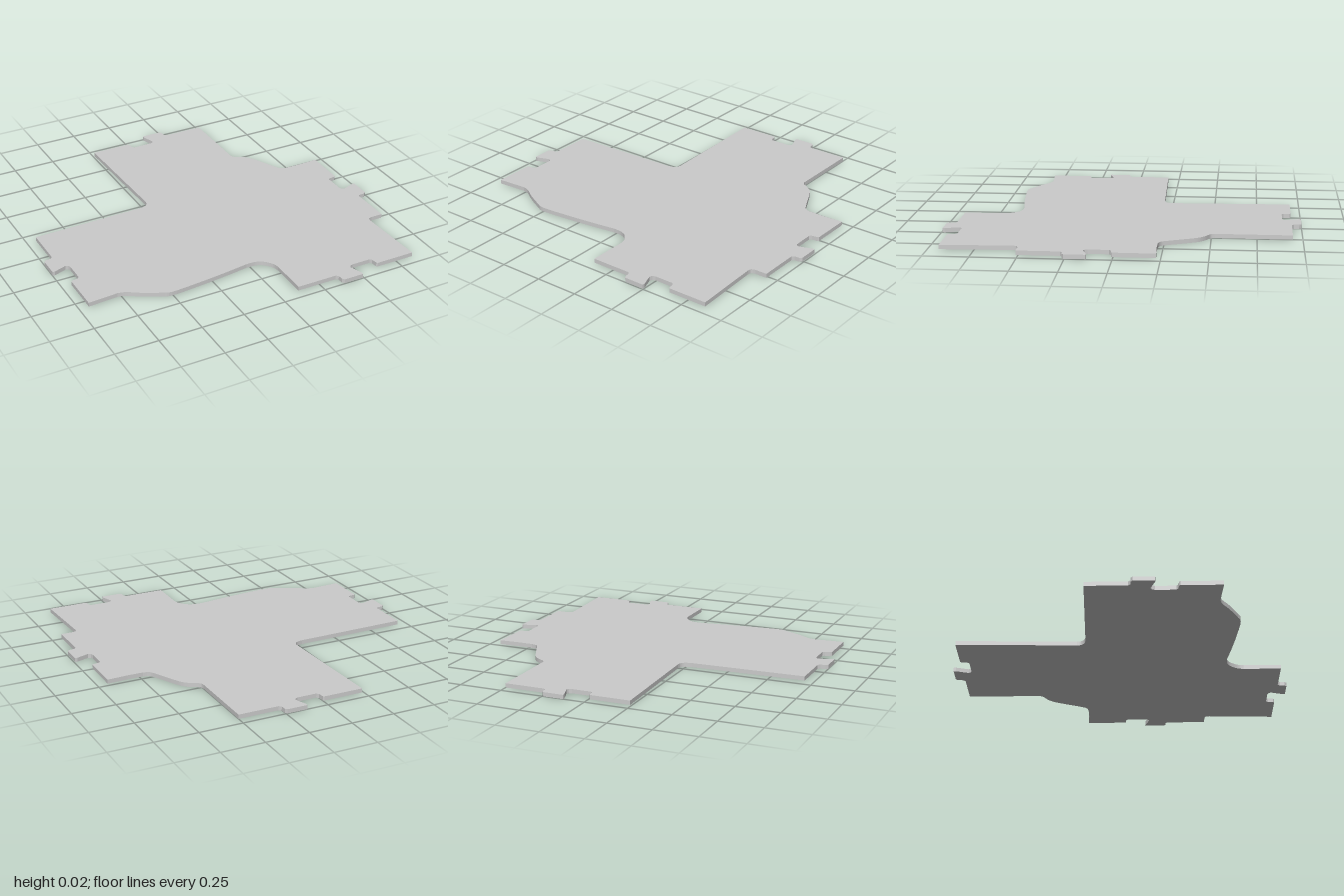
import * as THREE from 'three';

const THICKNESS = 0.024;
const V = (p) => new THREE.Vector2(p[0], p[1]);

// Notch and hooked tab shared by all four arm ends: [along the edge, outward]
const JOINT = [
  [-0.138, 0], [-0.132, -0.006], [-0.128, -0.04], [-0.118, -0.052], [-0.005, -0.052], [0.012, -0.046],
  [0.019, -0.032], [-0.007, 0.042], [-0.005, 0.055], [0.112, 0.055], [0.122, 0.042], [0.124, 0.012], [0.136, 0],
];

export function createModel() {
  const group = new THREE.Group();
  const shape = new THREE.Shape();

  const lines = (...pts) => pts.forEach((p) => shape.lineTo(p[0], p[1]));
  const curve = (...pts) => {
    lines(pts[0]);
    shape.splineThru(pts.slice(1).map(V));
  };
  // Joint centred at (cx, cz), running in direction (dx, dz); outward is its left-hand side
  const joint = (cx, cz, dx, dz) =>
    lines(...JOINT.map(([u, v]) => [cx + u * dx + v * dz, cz + u * dz - v * dx]));

  // Back arm end
  shape.moveTo(-0.24, -0.945);
  joint(0.13, -0.945, 1, 0);
  lines([0.5, -0.945]);

  // Shoulder between back and left arms
  curve([0.5, -0.52], [0.51, -0.495], [0.555, -0.468], [0.59, -0.435], [0.62, -0.38],
    [0.675, -0.264], [0.697, -0.232], [0.73, -0.221]);
  lines([0.82, -0.22], [0.94, -0.226]);

  // Left arm end
  joint(0.938, 0.143, 0, 1);
  lines([0.938, 0.514]);

  // Small inner corner, then front arm end
  curve([0.87, 0.514], [0.847, 0.522], [0.841, 0.545]);
  lines([0.857, 0.94]);
  joint(0.49, 0.94, -1, 0);
  lines([0.118, 0.94]);

  // Wavy side between front and right arms
  curve([0.12, 0.72], [0.11, 0.68], [0.075, 0.637], [0.035, 0.618], [-0.02, 0.615]);
  curve([-0.02, 0.615], [-0.16, 0.635], [-0.32, 0.653], [-0.5, 0.667], [-0.56, 0.648],
    [-0.66, 0.597], [-0.725, 0.555], [-0.77, 0.543]);
  lines([-0.944, 0.555]);

  // Right arm end
  joint(-0.944, 0.187, 0, -1);
  lines([-0.944, -0.184]);

  // Rounded inner corner back to the back arm
  curve([-0.28, -0.2], [-0.245, -0.208], [-0.225, -0.226], [-0.219, -0.25]);
  shape.closePath();

  // Flat slab lying on the ground
  const geometry = new THREE.ExtrudeGeometry(shape, { depth: THICKNESS, bevelEnabled: false, curveSegments: 4 });
  geometry.rotateX(Math.PI / 2);
  geometry.translate(0, THICKNESS, 0);
  const tile = new THREE.Mesh(geometry, new THREE.MeshStandardMaterial({ color: 0xcccccc }));
  tile.name = 'interlockingTile';
  group.add(tile);
  return group;
}
